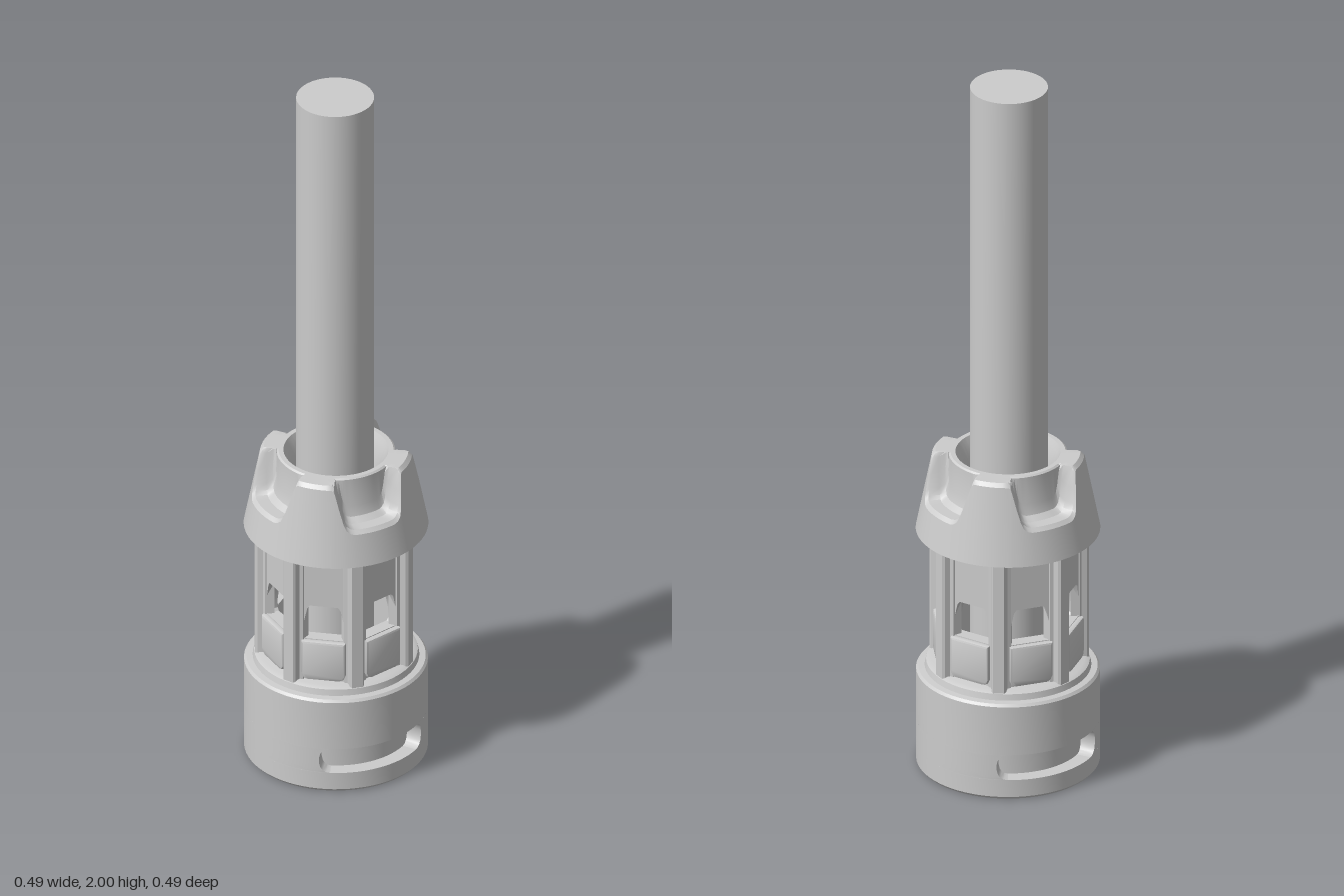
import * as THREE from 'three';
import { toCreasedNormals } from 'three/addons/utils/BufferGeometryUtils.js';
import { ParametricGeometry } from 'three/addons/geometries/ParametricGeometry.js';

const grey = new THREE.MeshStandardMaterial({ color: 0xcccccc });
const rad = THREE.MathUtils.degToRad;

function mesh(name, geometry, parent) {
  const m = new THREE.Mesh(toCreasedNormals(geometry, rad(32)), grey);
  m.name = name;
  parent.add(m);
  return m;
}

const polygon = (pts, Type = THREE.Shape) => new Type(pts.map(([x, y]) => new THREE.Vector2(x, y)));
const lathe = (pts) => new THREE.LatheGeometry(pts.map(([x, y]) => new THREE.Vector2(x, y)), 72);

// Surface through a grid of points; pointAt(i, j) returns [angle from +z, radius, height]
function gridSurface(columns, rows, pointAt) {
  return new ParametricGeometry((u, v, out) => {
    const [a, r, y] = pointAt(Math.round(u * columns), Math.round(v * rows));
    out.set(Math.sin(a) * r, y, Math.cos(a) * r);
  }, columns, rows);
}

// Collar with four scoops cut into its outer edge
function collarGeometry() {
  const bottom = 0.69, top = 0.915;
  // half a scoop: angle in degrees, height of the cut
  const half = [[0, 0.79], [5, 0.79], [10, 0.79], [15, 0.79], [18, 0.793], [21, 0.802], [23, 0.82],
    [26, 0.86], [29, 0.902], [30, 0.911], [31.5, top], [36, top], [40, top], [45, top]];
  const stations = [];
  for (let k = 0; k < 4; k++) {
    for (const [d, h] of half.slice(1).reverse()) stations.push([rad(k * 90 - d), h]);
    for (const [d, h] of half.slice(0, -1)) stations.push([rad(k * 90 + d), h]);
  }
  stations.push([rad(315), top]);
  const cone = (y) => 0.246 - (y - bottom) * 0.2;
  const section = (h) => [
    [0.246, bottom], [cone(h - 0.01), h - 0.01], [cone(h) - 0.008, h], [0.185, h],
    [0.168, Math.min(h + 0.012, top)], [0.16, Math.min(h + 0.04, top)], [0.158, top - 0.004],
    [0.153, top], [0.14, top], [0.133, 0.9], [0.112, 0.85], [0.112, bottom], [0.246, bottom],
  ].map(([r, y]) => [r, h > top - 0.006 && r < 0.19 && r > 0.14 ? top : y]);
  const sections = stations.map(([, h]) => section(h));
  return gridSurface(stations.length - 1, sections[0].length - 1,
    (i, j) => [stations[i][0], ...sections[i][j]]);
}

// Wall between the two slots of the base, with rounded slot corners
function slotWallGeometry() {
  const y0 = 0.058, y1 = 0.132, corner = 0.03, steps = 30;
  const rows = [0, 0.03, 0.1, 0.2, 0.4, 0.6, 0.8, 0.9, 0.97, 1];
  return gridSurface(steps + 2, rows.length - 1, (i, j) => {
    const y = y0 + (y1 - y0) * rows[j];
    const d = Math.max(0, corner - Math.min(y - y0, y1 - y));
    const start = rad(39) - (corner - Math.sqrt(corner * corner - d * d)) / 0.245;
    const t = THREE.MathUtils.clamp((i - 1) / steps, 0, 1);
    const r = i === 0 || i === steps + 2 ? 0.2 : 0.245;
    return [start + (Math.PI - 2 * start) * t, r, y];
  });
}

export function createModel() {
  const model = new THREE.Group();
  model.name = 'rodHolder';

  // Long rod
  const rod = mesh('rod', new THREE.CylinderGeometry(0.104, 0.104, 1.93, 48), model);
  rod.position.set(0, 1.035, -0.005);

  // Base with a funnel underneath and a groove that the slot walls fill in
  const base = new THREE.Group();
  base.name = 'base';
  model.add(base);
  mesh('baseRing', lathe([
    [0.155, 0], [0.238, 0], [0.245, 0.008], [0.245, 0.058], [0.205, 0.058], [0.205, 0.132],
    [0.245, 0.132], [0.245, 0.274], [0.239, 0.281], [0.222, 0.283], [0.218, 0.3], [0.205, 0.306],
    [0.1, 0.306], [0.1, 0.072], [0.115, 0.072], [0.14, 0.02], [0.155, 0],
  ]), base);
  for (const side of [0, 1]) {
    mesh('slotWall', slotWallGeometry(), base).rotation.y = side * Math.PI;
  }

  // Seven-sided cage: windowed panels, sills and ribs
  const cage = new THREE.Group();
  cage.name = 'cage';
  model.add(cage);
  const panelShape = polygon([[-0.085, 0.29], [0.085, 0.29], [0.085, 0.7], [-0.085, 0.7]]);
  panelShape.holes.push(polygon([[-0.052, 0.43], [0.052, 0.43], [0.058, 0.437], [0.058, 0.465],
    [0.045, 0.523], [0.038, 0.532], [-0.038, 0.532], [-0.045, 0.523], [-0.058, 0.465], [-0.058, 0.437]],
  THREE.Path));
  const panel = new THREE.ExtrudeGeometry(panelShape, { depth: 0.035, bevelEnabled: false });
  panel.translate(0, 0, 0.145);

  const sillShape = polygon([[-0.042, 0.317], [0.042, 0.317], [0.05, 0.321], [0.054, 0.33],
    [0.054, 0.422], [-0.054, 0.422], [-0.054, 0.33], [-0.05, 0.321]]);
  const sill = new THREE.ExtrudeGeometry(sillShape,
    { depth: 0.012, bevelThickness: 0.007, bevelSize: 0.006, bevelSegments: 2 });
  sill.translate(0, 0, 0.176);

  const ribShape = polygon([[-0.03, -0.165], [-0.03, -0.19], [-0.022, -0.195], [-0.02, -0.21],
    [-0.015, -0.216], [0.015, -0.216], [0.02, -0.21], [0.022, -0.195], [0.03, -0.19], [0.03, -0.165]]);
  const rib = new THREE.ExtrudeGeometry(ribShape, { depth: 0.42, bevelEnabled: false });
  rib.rotateX(-Math.PI / 2).translate(0, 0.28, 0);

  const step = (Math.PI * 2) / 7;
  for (let i = 0; i < 7; i++) {
    const angle = Math.PI / 2 + i * step;
    mesh('rib', rib, cage).rotation.y = angle;
    mesh('panel', panel, cage).rotation.y = angle + step / 2;
    mesh('sill', sill, cage).rotation.y = angle + step / 2;
  }

  // Collar around the rod
  mesh('collar', collarGeometry(), model);
  return model;
}
